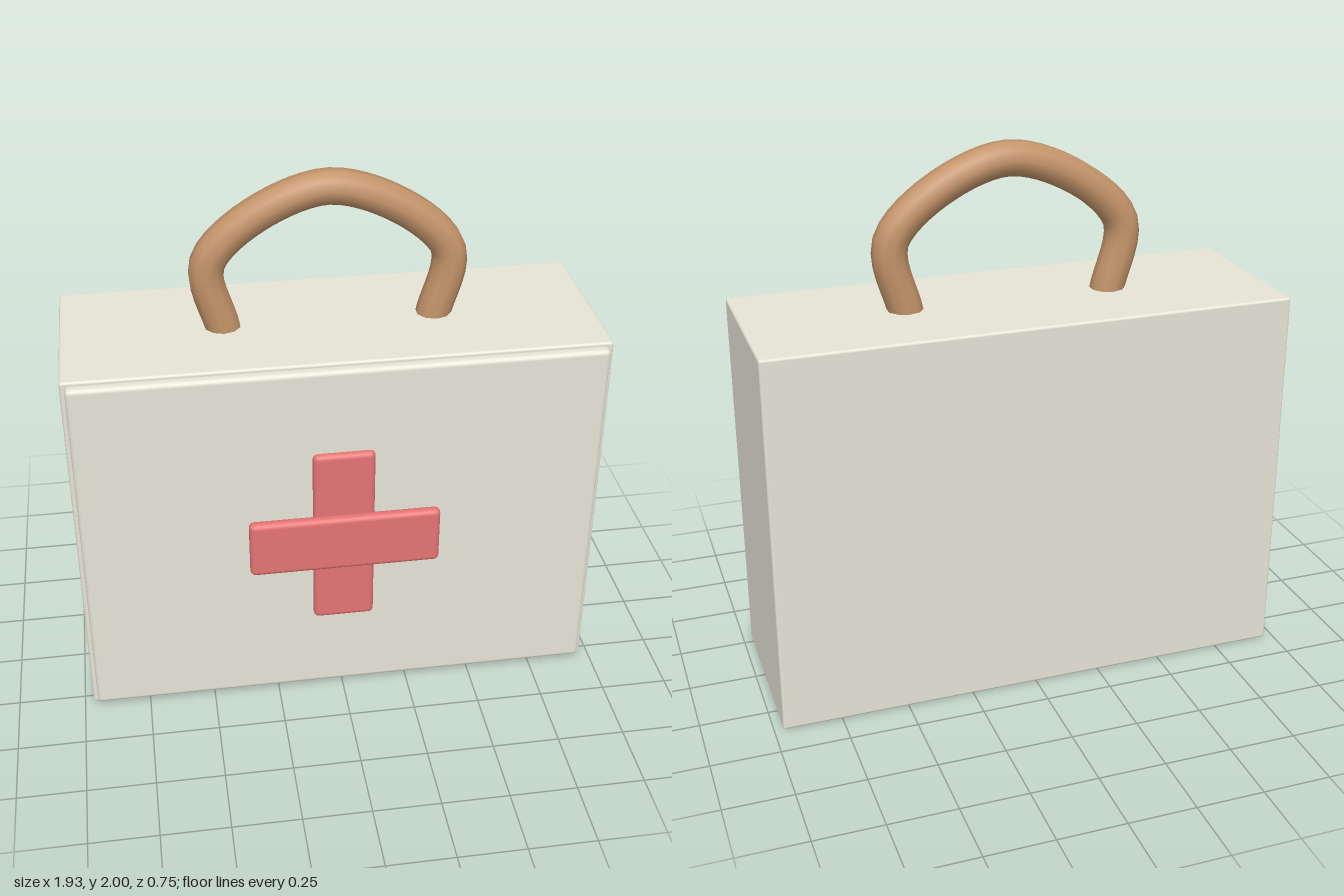
import * as THREE from 'three';
import { RoundedBoxGeometry } from 'three/addons/geometries/RoundedBoxGeometry.js';

const shell = new THREE.MeshStandardMaterial({ color: 0xe6e4d6 });
const red = new THREE.MeshStandardMaterial({ color: 0xe57373 });
const leather = new THREE.MeshStandardMaterial({ color: 0xc4946a });

// Rounded box given by its lower and upper limits on each axis
function block(name, material, [x0, x1], [y0, y1], [z0, z1], radius) {
  const geometry = new RoundedBoxGeometry(x1 - x0, y1 - y0, z1 - z0, 3, radius);
  const mesh = new THREE.Mesh(geometry, material);
  mesh.name = name;
  mesh.position.set((x0 + x1) / 2, (y0 + y1) / 2, (z0 + z1) / 2);
  return mesh;
}

export function createModel() {
  const group = new THREE.Group();
  group.name = 'firstAidCase';

  // Case and raised front panel
  group.add(block('caseBody', shell, [-0.967, 0.967], [0, 1.425], [-0.377, 0.287], 0.01));
  group.add(block('frontPanel', shell, [-0.95, 0.95], [0.02, 1.41], [0.255, 0.32], 0.018));

  // Cross made of two overlapping bars
  group.add(block('crossUpright', red, [-0.113, 0.113], [0.355, 1.08], [0.298, 0.343], 0.02));
  group.add(block('crossBar', red, [-0.35, 0.35], [0.603, 0.828], [0.333, 0.378], 0.02));

  // Arched carrying handle, its feet sunk into the top of the case
  const z = -0.043;
  const path = new THREE.CatmullRomCurve3([
    [-0.38, 1.4], [-0.425, 1.69], [0, 1.937], [0.425, 1.69], [0.38, 1.4],
  ].map(([x, y]) => new THREE.Vector3(x, y, z)));
  const handle = new THREE.Mesh(new THREE.TubeGeometry(path, 40, 0.064, 10, false), leather);
  handle.name = 'handle';
  group.add(handle);

  return group;
}
